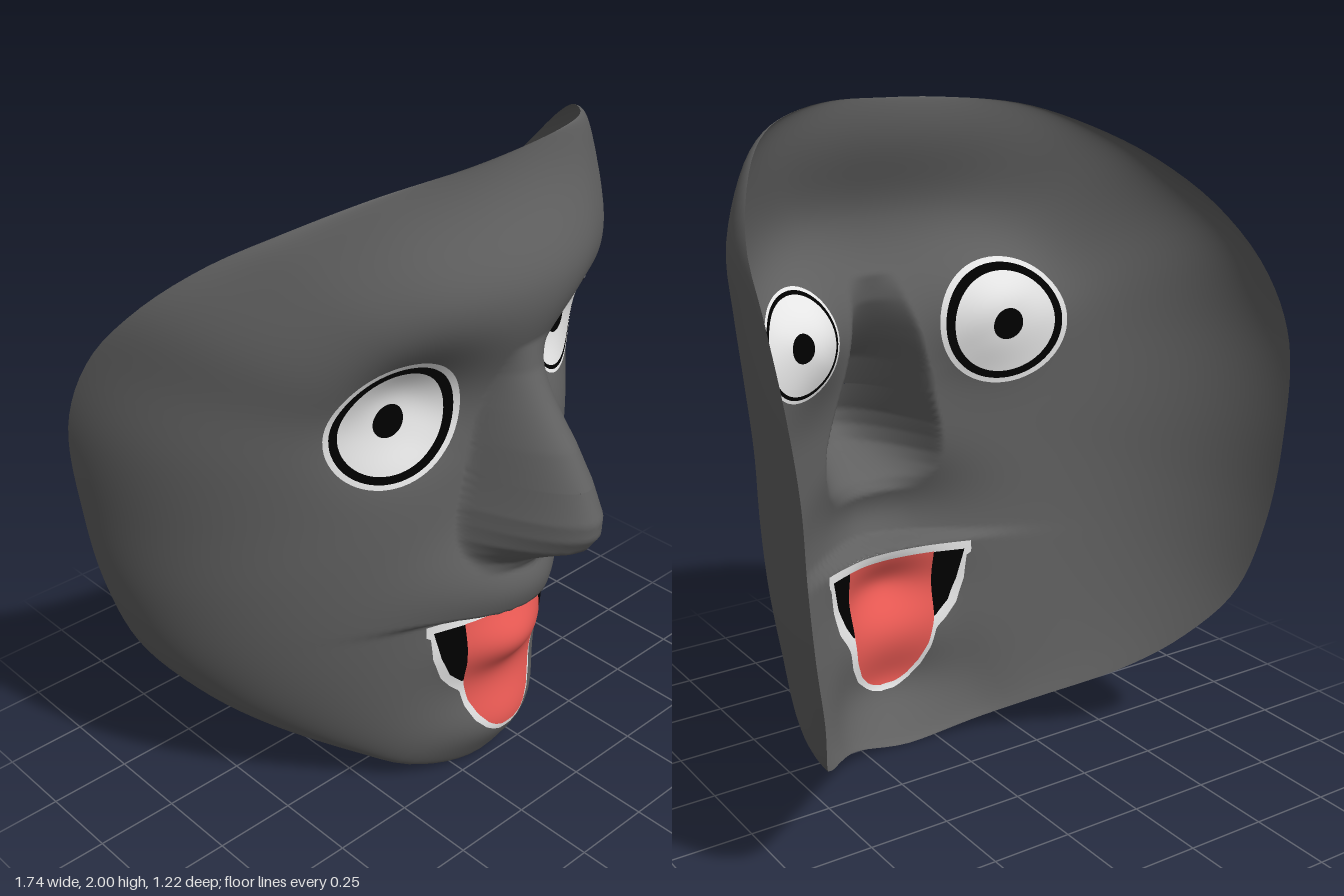
import * as THREE from 'three';

// Rim of the mask, counter-clockwise seen from the front: x, y, z
const RIM = [
  [0.86, 1.2, -0.6], [0.865, 1.4, -0.55], [0.85, 1.59, -0.43], [0.82, 1.73, -0.29], [0.73, 1.86, -0.12],
  [0.62, 1.94, 0.03], [0.46, 1.98, 0.19], [0.28, 2, 0.28], [0.1, 1.998, 0.31], [-0.1, 1.99, 0.315],
  [-0.36, 1.96, 0.255], [-0.54, 1.89, 0.14], [-0.67, 1.8, 0], [-0.78, 1.67, -0.15], [-0.84, 1.5, -0.3],
  [-0.87, 1.3, -0.38], [-0.84, 1, -0.41], [-0.8, 0.75, -0.4], [-0.73, 0.53, -0.36], [-0.62, 0.37, -0.26],
  [-0.49, 0.25, -0.14], [-0.28, 0.12, 0.05], [-0.14, 0.05, 0.15], [0.1, 0, 0.2], [0.3, 0.05, 0.16],
  [0.43, 0.12, 0.03], [0.54, 0.2, -0.12], [0.64, 0.3, -0.28], [0.72, 0.4, -0.42], [0.79, 0.6, -0.55],
  [0.835, 0.8, -0.6], [0.855, 1, -0.61],
];
// Nose ridge: y, height above the face, half width
const NOSE = [
  [0.79, 0, 0.15], [0.83, 0.05, 0.175], [0.87, 0.15, 0.2], [0.91, 0.25, 0.21], [0.96, 0.3, 0.21],
  [1.01, 0.31, 0.205], [1.1, 0.275, 0.18], [1.2, 0.215, 0.155], [1.3, 0.13, 0.13], [1.4, 0.045, 0.1], [1.48, 0, 0.08],
];
const CX = 0.1, CY = 1.1, CZ = 0.3;
const TAU = Math.PI * 2;

const angleOf = (x, y) => (Math.atan2(y - CY, x - CX) + TAU) % TAU;
const gauss = (d, s) => Math.exp(-((d / s) ** 2));

// Rim radius and depth as a table over the angle
const rimTable = new THREE.CatmullRomCurve3(RIM.map((p) => new THREE.Vector3(...p)), true)
  .getPoints(400)
  .map((p) => ({ a: angleOf(p.x, p.y), r: Math.hypot(p.x - CX, p.y - CY), z: p.z }))
  .sort((p, q) => p.a - q.a);

function rimAt(a) {
  const n = rimTable.length;
  let i = rimTable.findIndex((p) => p.a > a);
  if (i < 0) i = 0;
  const p = rimTable[(i + n - 1) % n], q = rimTable[i];
  const span = (q.a - p.a + TAU) % TAU || 1;
  const t = ((a - p.a + TAU) % TAU) / span;
  return { r: p.r + (q.r - p.r) * t, z: p.z + (q.z - p.z) * t };
}

// Linear interpolation through rows keyed by their first value
function rowAt(rows, y) {
  let i = 1;
  while (i < rows.length - 1 && rows[i][0] < y) i++;
  const p = rows[i - 1], q = rows[i];
  const t = THREE.MathUtils.clamp((y - p[0]) / (q[0] - p[0]), 0, 1);
  return p.map((v, k) => v + (q[k] - v) * t);
}

// Depth of the face at x, y: a round shell with modelled features
function depth(x, y) {
  const rim = rimAt(angleOf(x, y));
  const r = Math.min(1, Math.hypot(x - CX, y - CY) / rim.r);
  let z = CZ + (rim.z - CZ) * (1 - Math.sqrt(1 - r * r));
  const inner = 1 - r ** 6;
  // brow and eye sockets
  z += 0.11 * gauss(x - 0.1, 0.6) * gauss(y - 1.64, y > 1.64 ? 0.23 : 0.27) * inner;
  z -= 0.11 * gauss(x + 0.23, 0.18) * gauss(y - 1.36, 0.16);
  z -= 0.14 * gauss(x - 0.41, 0.18) * gauss(y - 1.36, 0.17);
  // eyeballs
  z += 0.025 * (gauss(x + 0.27, 0.12) + gauss(x - 0.48, 0.1)) * gauss(y - 1.32, 0.1);
  // nose with nostril wings
  if (y > 0.79 && y < 1.48) {
    const [, h, w] = rowAt(NOSE, y);
    const s = (x - 0.115 - 0.015 * gauss(y - 1, 0.2)) / w;
    z += h * Math.max(0, 1 - s * s) ** 1.1;
  }
  // upper lip, tongue and chin
  z += 0.115 * gauss(x - 0.11, 0.26) * gauss(y - 0.72, 0.16) * THREE.MathUtils.smoothstep(y, 0.626, 0.65);
  z += 0.07 * gauss(x - 0.11, 0.16) * gauss(y - 0.5, 0.09);
  z += 0.06 * gauss(x - 0.12, 0.22) * gauss(y - 0.17, 0.12);
  return z;
}

// Point on the face, pushed out along its normal
function onFace(x, y, lift) {
  const e = 0.004;
  const n = new THREE.Vector3(
    (depth(x - e, y) - depth(x + e, y)) / (2 * e),
    (depth(x, y - e) - depth(x, y + e)) / (2 * e), 1).normalize();
  return n.multiplyScalar(lift).add(new THREE.Vector3(x, y, depth(x, y)));
}

// Grid surface; point(u, v) gives each corner, columns may wrap round
function grid(cols, rows, wrap, point) {
  const pos = [], index = [];
  const n = wrap ? cols : cols + 1;
  for (let j = 0; j <= rows; j++)
    for (let i = 0; i < n; i++) pos.push(...point(i / cols, j / rows).toArray());
  for (let j = 0; j < rows; j++)
    for (let i = 0; i < cols; i++) {
      const a = j * n + i, b = j * n + ((i + 1) % n);
      index.push(a, a + n, b, b, a + n, b + n);
    }
  const g = new THREE.BufferGeometry();
  g.setAttribute('position', new THREE.Float32BufferAttribute(pos, 3));
  g.setIndex(index);
  g.computeVertexNormals();
  return g;
}

export function createModel() {
  const model = new THREE.Group();
  model.name = 'mask';
  const material = (name, color) => {
    const m = new THREE.MeshStandardMaterial({ color, side: THREE.DoubleSide });
    m.name = name;
    return m;
  };
  const skin = material('charcoal', 0x606060);
  const white = material('white', 0xfafafa);
  const black = material('black', 0x000000);
  const red = material('tongueRed', 0xea5a54);

  const add = (name, geometry, mat) => {
    const mesh = new THREE.Mesh(geometry, mat);
    mesh.name = name;
    model.add(mesh);
  };

  // Shell, with rings crowding towards the steep rim
  add('faceShell', grid(160, 150, true, (u, v) => {
    const a = u * TAU, rim = rimAt(a);
    const r = Math.max(0.001, Math.sin(v * Math.PI / 2)) * rim.r;
    const x = CX + r * Math.cos(a), y = CY + r * Math.sin(a);
    return new THREE.Vector3(x, y, depth(x, y));
  }), skin);

  // Painted parts lie on both the outside and the inside of the shell
  const paintRing = (name, mat, [cx, cy, rx, ry], r0, r1) => {
    for (const side of [1, -1])
      add(name + (side > 0 ? 'Outside' : 'Inside'), grid(64, 10, true, (u, v) => {
        const r = r0 + (r1 - r0) * v, a = u * TAU;
        return onFace(cx + rx * r * Math.cos(a), cy + ry * r * Math.sin(a), side * 0.005);
      }), mat);
  };
  const paintRows = (name, mat, rows, lift) => {
    const y0 = rows[0][0], y1 = rows[rows.length - 1][0];
    for (const side of [1, -1])
      add(name + (side > 0 ? 'Outside' : 'Inside'), grid(20, 50, false, (u, v) => {
        const [y, xl, xr] = rowAt(rows, y1 + (y0 - y1) * v);
        return onFace(xl + (xr - xl) * u, y, side * lift);
      }), mat);
  };

  // Eyes: centre x, y and radii, then the ring limits
  const eyes = [
    ['rightEye', [-0.268, 1.317, 0.198, 0.191], 0.25, 0.8, 0.92],
    ['leftEye', [0.468, 1.355, 0.146, 0.155], 0.26, 0.87, 0.94],
  ];
  for (const [name, ellipse, pupil, in0, in1] of eyes) {
    paintRing(name + 'Pupil', black, ellipse, 0.001, pupil);
    paintRing(name + 'White', white, ellipse, pupil, in0);
    paintRing(name + 'Ring', black, ellipse, in0, in1);
    paintRing(name + 'Rim', white, ellipse, in1, 1);
  }

  // Mouth: y, left x, right x, from bottom to top
  paintRows('mouthOutline', white, [
    [0.153, 0.095, 0.145], [0.163, 0.07, 0.175], [0.18, 0.043, 0.2], [0.22, 0.005, 0.24], [0.28, -0.025, 0.268],
    [0.345, -0.042, 0.28], [0.375, -0.075, 0.295], [0.42, -0.11, 0.325], [0.5, -0.138, 0.347],
    [0.58, -0.148, 0.355], [0.585, -0.162, 0.362], [0.622, -0.162, 0.362],
  ], 0.004);
  paintRows('mouthOpening', black, [
    [0.385, -0.04, 0.265], [0.43, -0.085, 0.295], [0.5, -0.115, 0.325], [0.597, -0.14, 0.345],
  ], 0.0065);
  paintRows('tongue', red, [
    [0.176, 0.095, 0.145], [0.185, 0.07, 0.175], [0.2, 0.048, 0.197], [0.24, 0.015, 0.23], [0.3, -0.015, 0.252],
    [0.38, -0.035, 0.262], [0.5, -0.045, 0.27], [0.6, -0.045, 0.27],
  ], 0.009);

  return model;
}
